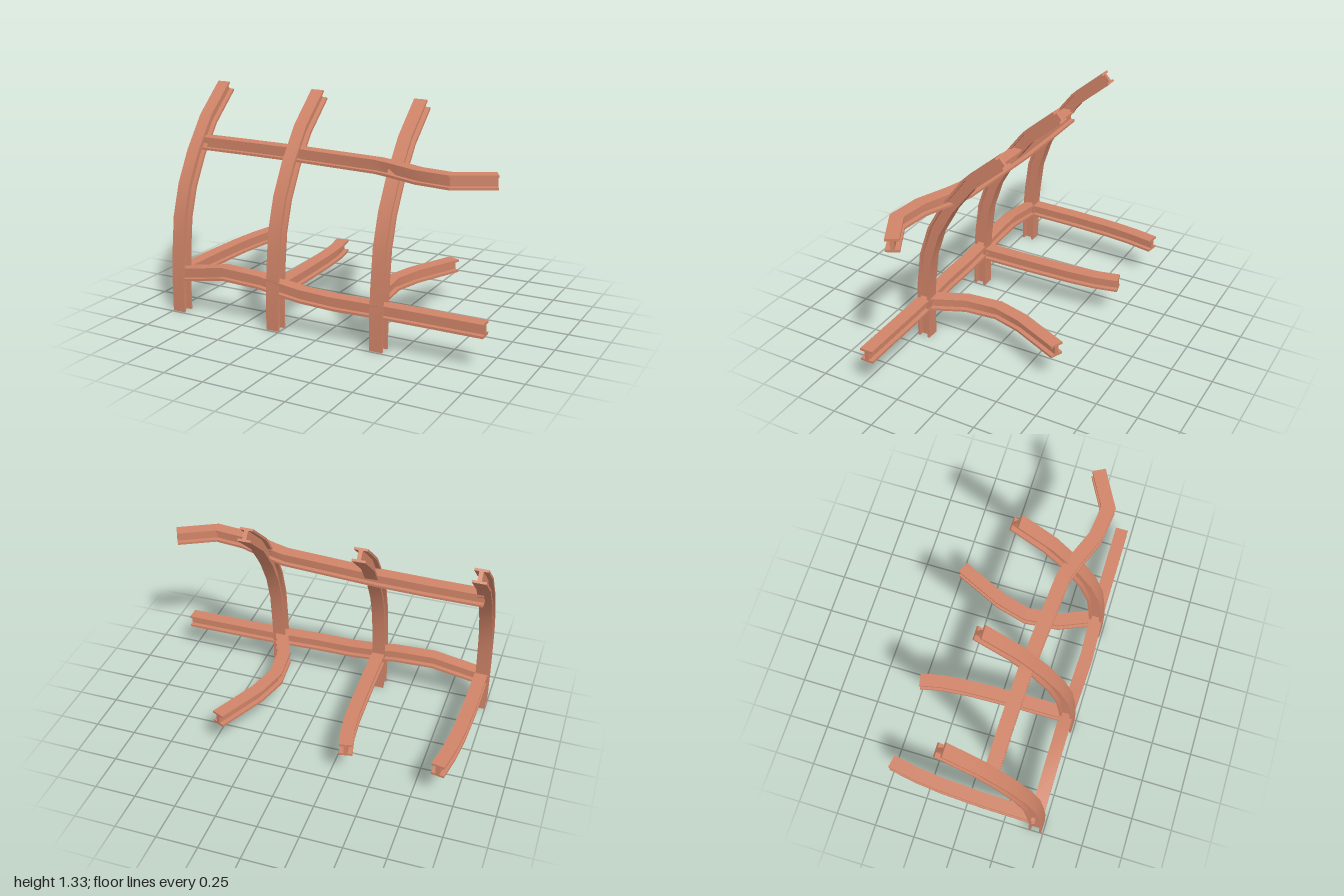
import * as THREE from 'three';
import { toCreasedNormals } from 'three/addons/utils/BufferGeometryUtils.js';

// I-shaped cross-section: half width, half height, flange thickness, half web
const W = 0.04, H = 0.04, F = 0.014, T = 0.012;
const SECTION = [
  [-W, -H], [W, -H], [W, F - H], [T, F - H], [T, H - F], [W, H - F],
  [W, H], [-W, H], [-W, H - F], [-T, H - F], [-T, F - H], [-W, F - H],
];
const CAPS = [[0, 1, 2, 11], [10, 3, 4, 9], [8, 5, 6, 7]];
const X = new THREE.Vector3(1, 0, 0), Y = new THREE.Vector3(0, 1, 0);

// Sweeps the section along a path with mitred joints.
// Upright beams keep their flange width along x; lying beams keep their flanges level.
function beamGeometry(path, upright) {
  const pts = path.map((p) => new THREE.Vector3(...p));
  const axis = upright ? X : Y;
  const across = (dir) => (upright
    ? new THREE.Vector3().crossVectors(dir, axis)
    : new THREE.Vector3().crossVectors(axis, dir)).normalize();
  const last = pts.length - 1;
  const rings = pts.map((p, k) => {
    const before = across(pts[Math.max(k, 1)].clone().sub(pts[Math.max(k, 1) - 1]));
    const n = Math.min(k, last - 1);
    const after = across(pts[n + 1].clone().sub(pts[n]));
    const mitre = before.clone().add(after).normalize();
    mitre.divideScalar(mitre.dot(before));
    const [w, h] = upright ? [axis, mitre] : [mitre, axis];
    return SECTION.map(([a, b]) => p.clone().addScaledVector(w, a).addScaledVector(h, b));
  });
  const pos = [];
  const quad = (a, b, c, d) => [a, b, c, a, c, d].forEach((v) => pos.push(v.x, v.y, v.z));
  for (let k = 0; k < last; k++) {
    for (let i = 0; i < 12; i++) {
      const j = (i + 1) % 12;
      quad(rings[k][i], rings[k][j], rings[k + 1][j], rings[k + 1][i]);
    }
  }
  for (const cap of CAPS) {
    quad(...cap.map((i) => rings[last][i]));
    quad(...cap.map((i) => rings[0][i]).reverse());
  }
  const geo = new THREE.BufferGeometry();
  geo.setAttribute('position', new THREE.Float32BufferAttribute(pos, 3));
  return toCreasedNormals(geo, 0.6);
}

export function createModel() {
  const model = new THREE.Group();
  model.name = 'bentBeamFrame';
  const material = new THREE.MeshStandardMaterial({ color: 0xd08468 });
  const add = (name, geometry, x = 0) => {
    const mesh = new THREE.Mesh(geometry, material);
    mesh.name = name;
    mesh.position.x = x;
    model.add(mesh);
  };

  // Three identical curved columns leaning back
  const column = beamGeometry([
    [0, 0, 0.45], [0, 0.2, 0.448], [0, 0.38, 0.434], [0, 0.58, 0.408],
    [0, 0.763, 0.348], [0, 0.942, 0.248], [0, 1.126, 0.108], [0, 1.3, -0.094],
  ], true);
  [['rightColumn', -0.96], ['middleColumn', -0.295], ['leftColumn', 0.375]]
    .forEach(([name, x]) => add(name, column, x));

  // Cross beams along the front
  add('lowerCrossBeam', beamGeometry([
    [-0.96, 0.232, 0.44], [-0.9, 0.242, 0.44], [-0.645, 0.286, 0.44], [-0.4, 0.277, 0.44],
    [-0.28, 0.26, 0.441], [-0.11, 0.241, 0.448], [0.11, 0.235, 0.455],
    [0.4, 0.235, 0.442], [0.6, 0.235, 0.44], [1, 0.235, 0.44],
  ], false));
  add('upperCrossBeam', beamGeometry([
    [-0.96, 0.993, 0.168], [-0.65, 0.993, 0.169], [-0.34, 0.993, 0.177],
    [0.255, 0.993, 0.222], [0.36, 0.993, 0.255], [0.55, 0.993, 0.33],
    [0.745, 0.993, 0.354], [0.965, 0.993, 0.237],
  ], false));

  // Floor beams running back from each column, given as x, z points
  const floorBeams = {
    rightFloorBeam: [[-0.955, 0.44], [-0.952, 0.1], [-0.94, -0.16], [-0.922, -0.33], [-0.893, -0.49]],
    middleFloorBeam: [[-0.295, 0.44], [-0.3, 0.1], [-0.31, -0.19], [-0.325, -0.35], [-0.355, -0.49]],
    leftFloorBeam: [[0.37, 0.44], [0.275, 0.22], [0.255, 0.015], [0.305, -0.17], [0.442, -0.468]],
  };
  for (const [name, path] of Object.entries(floorBeams)) {
    add(name, beamGeometry(path.map(([x, z]) => [x, 0.235, z]), false));
  }
  return model;
}
